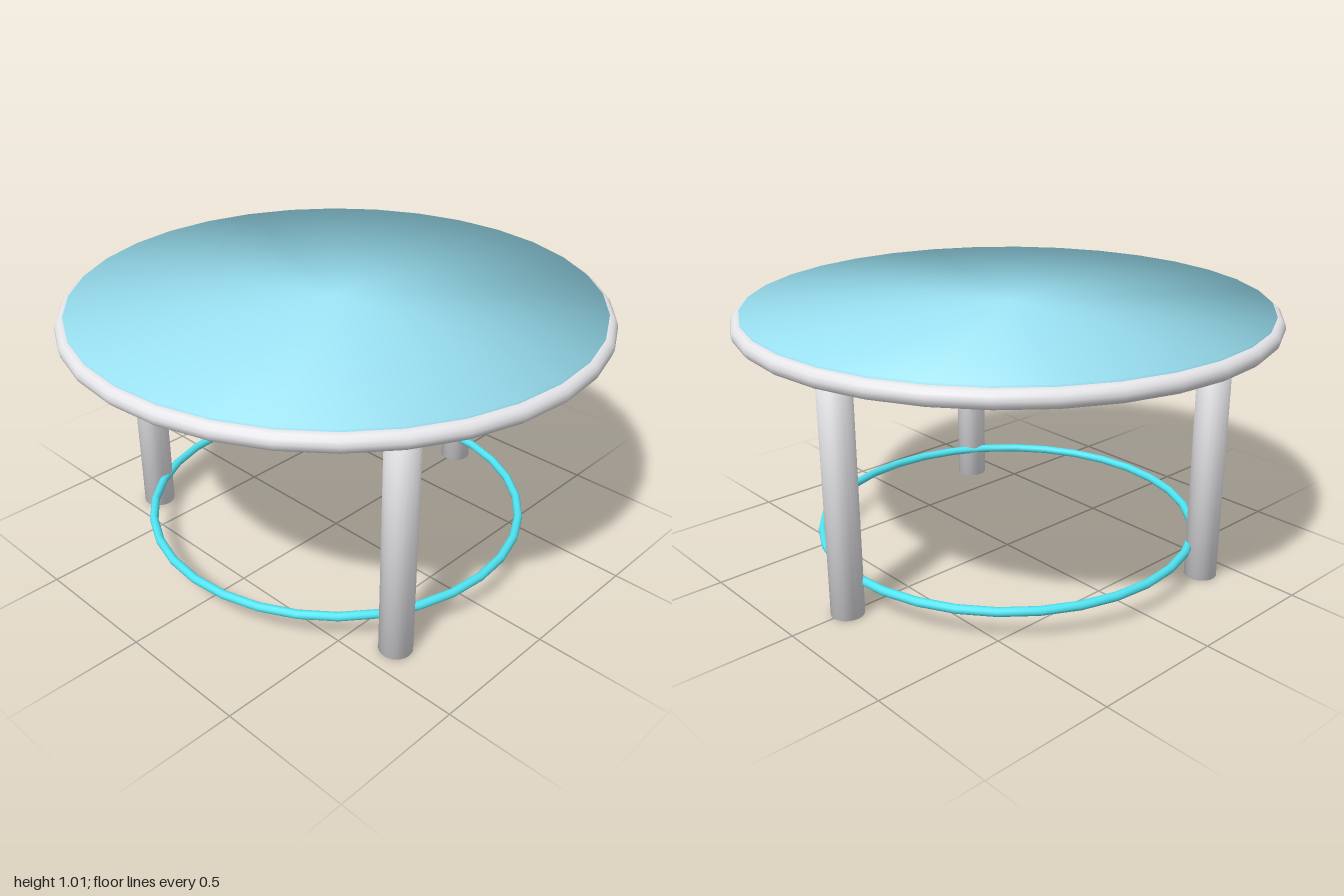
import * as THREE from 'three';

// Cylinder whose shading runs softly over the edge between wall and caps
function softCylinder(radius, height, sides) {
  const geometry = new THREE.CylinderGeometry(radius, radius, height, sides);
  const { position, normal } = geometry.attributes;
  const n = new THREE.Vector3();
  for (let i = 0; i < position.count; i++) {
    n.set((2 * position.getX(i)) / radius, Math.sign(position.getY(i)), (2 * position.getZ(i)) / radius);
    n.normalize();
    normal.setXYZ(i, n.x, n.y, n.z);
  }
  return geometry;
}

// Horizontal hoop
function hoop(radius, tube) {
  return new THREE.TorusGeometry(radius, tube, 12, 32).rotateX(Math.PI / 2);
}

export function createModel() {
  const table = new THREE.Group();
  table.name = 'roundTable';

  const frame = new THREE.MeshStandardMaterial({ color: 0xe6e6ea });
  const glass = new THREE.MeshStandardMaterial({ color: 0x9fe8fa });
  const cyan = new THREE.MeshStandardMaterial({ color: 0x50e4f2 });

  const add = (name, geometry, material, x, y, z) => {
    const mesh = new THREE.Mesh(geometry, material);
    mesh.name = name;
    mesh.position.set(x, y, z);
    table.add(mesh);
  };

  // Top: glass disc held in a tubular rim, rising just above it
  add('glassTop', softCylinder(0.967, 0.067, 32), glass, 0, 0.975, 0);
  add('topRim', hoop(0.967, 0.033), frame, 0, 0.967, 0);

  // Three legs evenly spaced around the centre, the first on +x
  const legHeight = 0.942;
  const legGeometry = softCylinder(0.061, legHeight, 24);
  for (let i = 0; i < 3; i++) {
    const angle = (i * Math.PI * 2) / 3;
    add('leg' + (i + 1), legGeometry, frame, 0.77 * Math.cos(angle), legHeight / 2, 0.77 * Math.sin(angle));
  }

  // Low ring that ties the legs together
  add('legRing', hoop(0.725, 0.0165), cyan, 0, 0.124, 0);

  return table;
}
